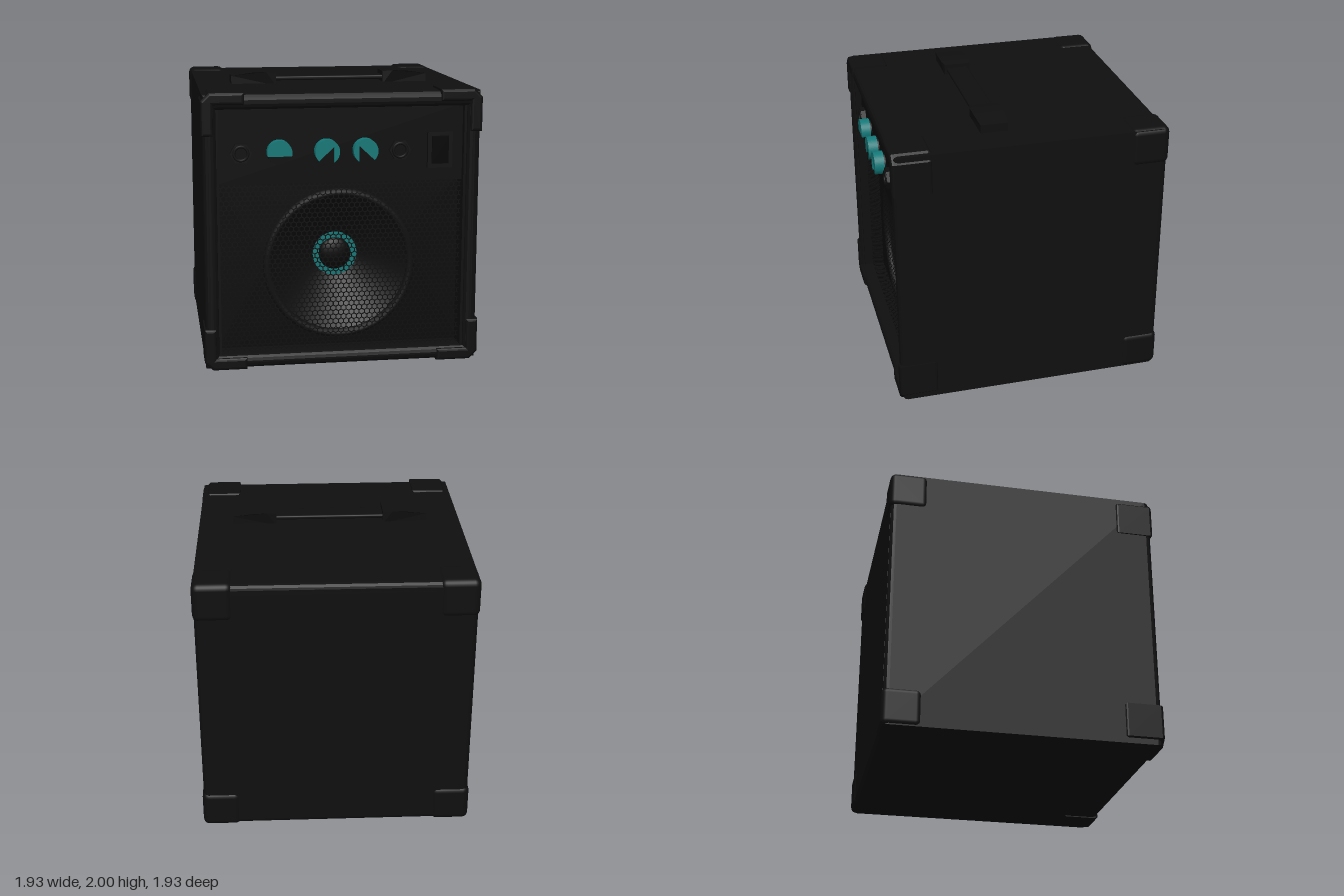
import * as THREE from 'three';
import { mergeGeometries } from 'three/addons/utils/BufferGeometryUtils.js';
import { RoundedBoxGeometry } from 'three/addons/geometries/RoundedBoxGeometry.js';

const mat = (name, color, side = THREE.FrontSide) => {
  const m = new THREE.MeshStandardMaterial({ color, side });
  m.name = name;
  return m;
};

// Rectangular outline; works for shapes and holes
function rectPath(Type, x0, y0, x1, y1) {
  const p = new Type();
  p.moveTo(x0, y0); p.lineTo(x1, y0); p.lineTo(x1, y1); p.lineTo(x0, y1);
  p.closePath();
  return p;
}

function extrude(shape, z0, z1, bevel = 0, curveSegments = 24) {
  const g = new THREE.ExtrudeGeometry(shape, {
    depth: z1 - z0 - 2 * bevel, curveSegments, bevelEnabled: bevel > 0,
    bevelSize: bevel, bevelThickness: bevel, bevelSegments: 3,
  });
  return g.translate(0, 0, z0 + bevel);
}

export function createModel() {
  const group = new THREE.Group();
  const black = mat('vinyl black', 0x0f0f0f);
  const dark = mat('panel black', 0x080808);
  const mesh2 = mat('grille black', 0x0c0c0c, THREE.DoubleSide);
  const teal = mat('teal', 0x147878);

  const add = (name, geo, material, x = 0, y = 0, z = 0, parent = group) => {
    const m = new THREE.Mesh(geo, material);
    m.name = name;
    m.position.set(x, y, z);
    parent.add(m);
    return m;
  };

  // Cabinet walls with soft edges, closed at the back
  const b = 0.04, H = 0.955 - b, CY = 0.962;
  const walls = rectPath(THREE.Shape, -H, CY - H, H, CY + H);
  walls.holes.push(rectPath(THREE.Path, -0.89 - b, 0.055 - b / 2, 0.89 + b, 1.85 + b));
  const solidWalls = rectPath(THREE.Shape, -H, CY - H, H, CY + H);
  solidWalls.holes.push(rectPath(THREE.Path, -0.9, 0.06, 0.9, 1.85));
  add('cabinet', extrude(solidWalls, -0.955, 0.955, b), black);
  add('backPanel', new THREE.BoxGeometry(1.84, 1.84, 0.06), black, 0, CY, -0.925);

  // Stepped bezel inside the opening
  const bezel = rectPath(THREE.Shape, -0.9, 0.05, 0.9, 1.86);
  bezel.holes.push(rectPath(THREE.Path, -0.845, 0.095, 0.845, 1.81));
  add('bezel', extrude(bezel, 0.74, 0.925), black);

  // Control panel
  add('controlPanel', new THREE.BoxGeometry(1.74, 0.54, 0.1), dark, 0, 1.56, 0.83);

  // Knobs: dark body under a teal cap with a notch cut out of it
  const knob = (x, a0, a1, apex) => {
    const g = new THREE.Group();
    g.name = 'knob';
    g.position.set(x, 1.515, 0.88);
    group.add(g);
    add('knobBody', new THREE.CylinderGeometry(0.083, 0.085, 0.05, 32).rotateX(Math.PI / 2), dark, 0, 0, 0.025, g);
    const s = new THREE.Shape();
    s.absarc(0, 0, 0.085, a0, a1, false);
    if (apex) s.lineTo(...apex);
    s.closePath();
    add('knobCap', extrude(s, 0.01, 0.08), teal, 0, 0, 0, g);
  };
  knob(-0.435, -0.28, Math.PI + 0.28);
  knob(-0.11, -1.0, 3.95, [0.047, 0.037]);
  knob(0.155, Math.PI - 3.95, Math.PI + 1.0, [-0.047, 0.037]);

  // Jack sockets with hex nuts
  for (const x of [-0.695, 0.4]) {
    const nut = new THREE.Shape();
    for (let i = 0; i < 6; i++) {
      const a = i * Math.PI / 3;
      nut[i ? 'lineTo' : 'moveTo'](0.075 * Math.cos(a), 0.075 * Math.sin(a));
    }
    nut.closePath();
    const hole = new THREE.Path();
    hole.absarc(0, 0, 0.045, 0, Math.PI * 2, true);
    nut.holes.push(hole);
    add('jackNut', extrude(nut, 0, 0.035), black, x, 1.51, 0.88);
    add('jackRim', new THREE.TorusGeometry(0.048, 0.01, 8, 24), black, x, 1.51, 0.915);
  }

  // Power switch: frame and tilted rocker
  const frame = rectPath(THREE.Shape, -0.087, -0.125, 0.087, 0.125);
  frame.holes.push(rectPath(THREE.Path, -0.06, -0.098, 0.06, 0.098));
  add('switchFrame', extrude(frame, 0, 0.03), black, 0.682, 1.505, 0.88);
  add('switchRocker', new THREE.BoxGeometry(0.115, 0.19, 0.04), dark, 0.682, 1.505, 0.89).rotation.x = 0.12;

  // Baffle with the speaker opening
  const baffle = rectPath(THREE.Shape, -0.88, 0.07, 0.88, 1.31);
  const opening = new THREE.Path();
  opening.absarc(0, 0.69, 0.52, 0, Math.PI * 2, true);
  baffle.holes.push(opening);
  add('baffle', extrude(baffle, 0.72, 0.77, 0, 48), dark);

  // Speaker surround, cone, coloured ring and dust cap
  add('speakerSurround', new THREE.TorusGeometry(0.51, 0.03, 10, 64), black, 0, 0.69, 0.775);
  const lathe = (pts, seg = 48) => new THREE.LatheGeometry(
    pts.map(([r, z]) => new THREE.Vector2(r, z)), seg).rotateX(Math.PI / 2);
  add('speakerCone', lathe([[0.12, 0.52], [0.17, 0.54], [0.34, 0.64], [0.51, 0.77]]), mesh2, 0, 0.7, 0);
  add('speakerRing', new THREE.RingGeometry(0.115, 0.16, 48), teal, 0, 0.71, 0.56);
  add('dustCap', new THREE.SphereGeometry(0.118, 32, 8, 0, Math.PI * 2, 0, Math.PI / 2)
    .scale(1, 0.4, 1).rotateX(Math.PI / 2), dark, 0, 0.71, 0.555);

  // Honeycomb grille made of tiled hexagon rings
  const pitch = 0.037, R = pitch / Math.sqrt(3), cells = [];
  const cell = new THREE.RingGeometry(R * 0.8, R, 6, 1).rotateZ(Math.PI / 6);
  for (let j = 0, y = 0.1; y < 1.3; j++, y += R * 1.5) {
    for (let i = -23; i <= 23; i++) {
      const x = (i + (j % 2) / 2) * pitch;
      if (Math.abs(x) < 0.86) cells.push(cell.clone().translate(x, y, 0.86));
    }
  }
  add('grille', mergeGeometries(cells), mesh2);

  // Corner protectors: L-shaped around the front opening, blocks at the back
  const c = 0.945, inner = 0.69, w = 0.9, cut = 0.045;
  const ell = new THREE.Shape([
    [inner, w], [w, w], [w, inner], [c, inner], [c, c - cut], [c - cut, c], [inner, c],
  ].map(([x, y]) => new THREE.Vector2(x, y)));
  const frontCorner = extrude(ell, 0.69, 0.965, 0.02);
  const backCorner = new RoundedBoxGeometry(0.275, 0.275, 0.275, 3, 0.045).translate(0.8275, 0.8275, -0.8275);
  for (let k = 0; k < 4; k++) {
    add('frontCorner', frontCorner, black, 0, 0.965, 0).rotation.z = k * Math.PI / 2;
    add('backCorner', backCorner, black, 0, 0.965, 0).rotation.z = k * Math.PI / 2;
  }

  // Carrying handle: strap between two tapered end caps
  const handle = new THREE.Group();
  handle.name = 'handle';
  handle.position.set(0, 0, 0.21);
  group.add(handle);
  add('handleStrap', new RoundedBoxGeometry(0.9, 0.03, 0.16, 2, 0.012), black, 0, 1.95, 0, handle);
  const capShape = new THREE.Shape([
    [0.39, 1.9], [0.71, 1.9], [0.71, 1.975], [0.55, 1.998], [0.46, 2], [0.39, 1.993],
  ].map(([x, y]) => new THREE.Vector2(x, y)));
  const cap = extrude(capShape, -0.11, 0.11);
  const p = cap.attributes.position;
  for (let i = 0; i < p.count; i++) if (p.getX(i) > 0.6 || p.getX(i) < 0.4) p.setZ(i, p.getZ(i) * 0.87);
  cap.computeVertexNormals();
  for (const turn of [0, Math.PI]) add('handleEnd', cap, black, 0, 0, 0, handle).rotation.y = turn;

  return group;
}
